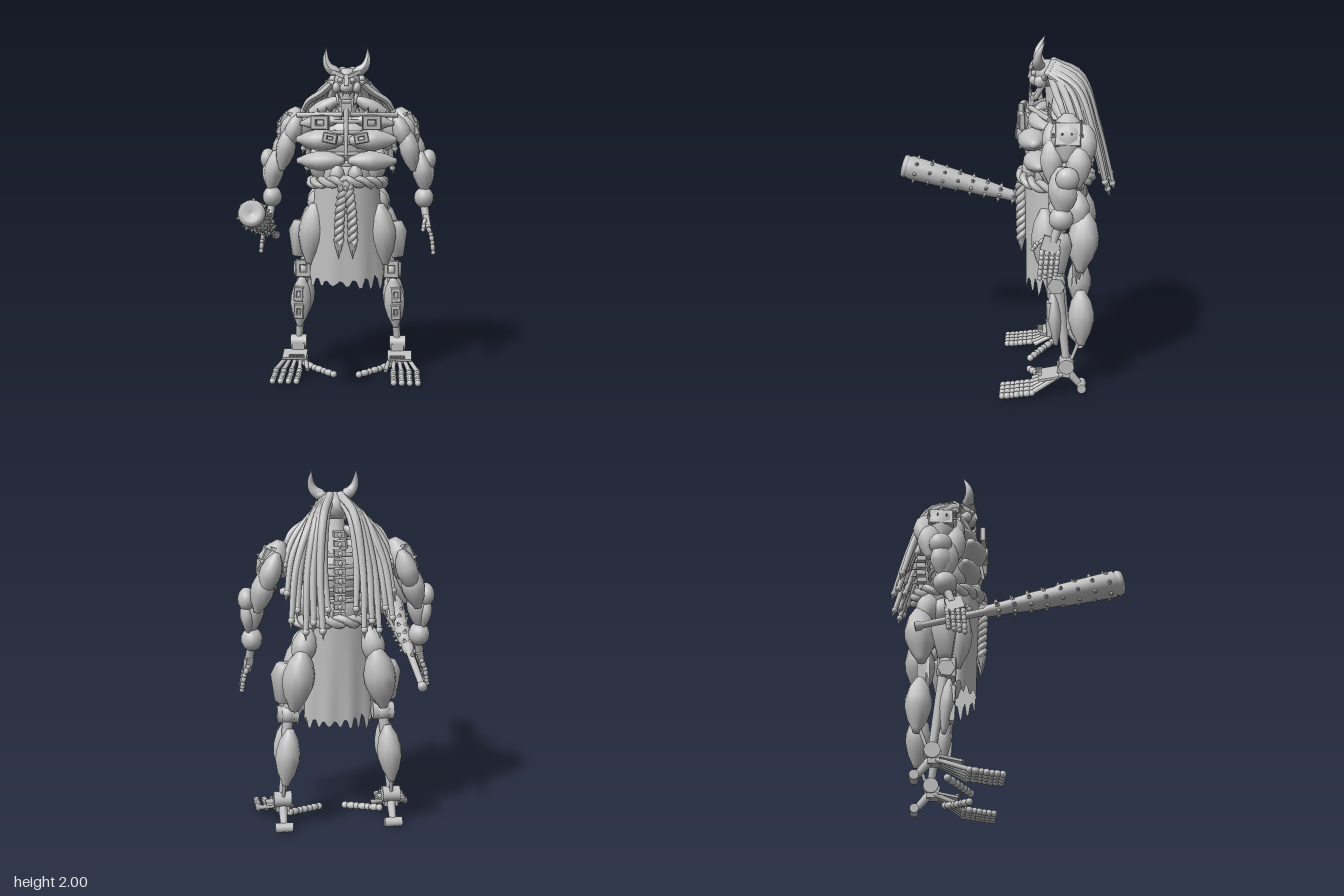
import * as THREE from 'three';

const steel = new THREE.MeshStandardMaterial({ color: 0xc0c0c0 });
steel.name = 'steel grey';
const cloth = steel.clone();
cloth.name = 'cloth grey';
cloth.side = THREE.DoubleSide;

const V = (x, y, z) => new THREE.Vector3(x, y, z);
const UP = V(0, 1, 0);

export function createModel() {
  const model = new THREE.Group();
  let part = model;
  const section = (name) => { part = new THREE.Group(); part.name = name; model.add(part); };
  const add = (name, geo, mat = steel) => {
    const m = new THREE.Mesh(geo, mat);
    m.name = name;
    part.add(m);
    return m;
  };
  // Places a unit-high geometry between two points, a at the top
  const span = (name, geo, a, b, sx, sz) => {
    const d = a.clone().sub(b), m = add(name, geo);
    m.position.copy(a).add(b).multiplyScalar(0.5);
    m.quaternion.setFromUnitVectors(UP, d.clone().normalize());
    m.scale.set(sx, d.length(), sz);
    return m;
  };
  const spindle = new THREE.LatheGeometry([[0, -0.5], [0.28, -0.49], [0.36, -0.43], [0.72, -0.27], [0.97, -0.06],
    [0.98, 0.1], [0.76, 0.31], [0.4, 0.45], [0.3, 0.49], [0, 0.5]].map(p => new THREE.Vector2(...p)), 12);
  const muscle = (name, a, b, rx, rz = rx) => span(name, spindle, a, b, rx, rz);
  const bone = (name, a, b, r0, r1 = r0, n = 8) => span(name, new THREE.CylinderGeometry(r0, r1, 1, n), a, b, 1, 1);
  const ball = (name, p, rx, ry = rx, rz = rx) => {
    const m = add(name, new THREE.SphereGeometry(1, 14, 10));
    m.position.copy(p); m.scale.set(rx, ry, rz);
    return m;
  };
  const box = (name, p, w, h, d, rx = 0, ry = 0, rz = 0) => {
    const m = add(name, new THREE.BoxGeometry(w, h, d));
    m.position.copy(p); m.rotation.set(rx, ry, rz);
    return m;
  };
  const spike = (name, p, dir, r, h) => {
    const d = dir.clone().normalize();
    return span(name, new THREE.ConeGeometry(r, 1, 5), p.clone().addScaledVector(d, h), p, 1, 1);
  };
  // Rectangular frame with a window
  const frame = (name, p, w, h, rx, ry, rz) => {
    const s = new THREE.Shape([[-w, -h], [w, -h], [w, h], [-w, h]].map(q => new THREE.Vector2(q[0] / 2, q[1] / 2)));
    s.holes.push(new THREE.Path([[-w, -h], [-w, h], [w, h], [w, -h]].map(q => new THREE.Vector2(q[0] * 0.27, q[1] * 0.25))));
    const m = add(name, new THREE.ExtrudeGeometry(s, { depth: 0.025, bevelSize: 0.005, bevelThickness: 0.005, bevelSegments: 1 }));
    m.position.copy(p); m.rotation.set(rx, ry, rz, 'ZYX');
  };
  // Two strands twisted round a path
  const rope = (name, path, r, turns, closed = false) => {
    const n = turns * 8, f = path.computeFrenetFrames(n, closed);
    for (const phase of [0, Math.PI]) {
      const pts = [];
      for (let i = 0; i < n + (closed ? 0 : 1); i++) {
        const t = phase + i / n * turns * Math.PI * 2;
        pts.push(path.getPointAt(i / n).addScaledVector(f.normals[i], Math.cos(t) * r * 0.6).addScaledVector(f.binormals[i], Math.sin(t) * r * 0.6));
      }
      add(name, new THREE.TubeGeometry(new THREE.CatmullRomCurve3(pts, closed), n * 2, r * 0.72, 6, closed));
    }
  };
  // Tube whose radius follows a rule along its length
  const taperTube = (name, c, n, r, sides, rule) => {
    const g = new THREE.TubeGeometry(c, n, r, sides), pos = g.attributes.position;
    for (let i = 0; i < pos.count; i++) {
      const t = Math.floor(i / (sides + 1)) / n, q = c.getPointAt(t);
      const v = V(0, 0, 0).fromBufferAttribute(pos, i).sub(q).multiplyScalar(rule(t)).add(q);
      pos.setXYZ(i, v.x, v.y, v.z);
    }
    g.computeVertexNormals();
    add(name, g);
  };
  // Jointed finger or toe through a row of knuckles
  const digit = (name, pts, r) => pts.forEach((p, i) => {
    ball(name + 'Knuckle', p, r);
    if (i) muscle(name + 'Segment', pts[i - 1], p, r * 1.05), bone(name + 'Rod', pts[i - 1], p, r * 0.6, r * 0.6, 6);
  });

  section('head');
  ball('skull', V(0, 1.805, -0.255), 0.08, 0.078, 0.085);
  ball('snout', V(0, 1.765, -0.19), 0.04, 0.035, 0.04);
  box('noseRidge', V(0, 1.81, -0.165), 0.025, 0.07, 0.03, -0.25);
  box('jaw', V(0, 1.675, -0.195), 0.085, 0.03, 0.07, 0.15);
  box('chin', V(0, 1.65, -0.165), 0.06, 0.05, 0.03);
  bone('neck', V(0, 1.74, -0.29), V(0, 1.52, -0.33), 0.05, 0.075, 10);
  bone('beardRod', V(0, 1.64, -0.16), V(0, 1.37, -0.105), 0.018, 0.01);
  for (const s of [-1, 1]) {
    ball('eye', V(s * 0.036, 1.81, -0.18), 0.017);
    box('brow', V(s * 0.042, 1.845, -0.18), 0.075, 0.022, 0.04, 0, s * 0.3, s * 0.4);
    ball('cheek', V(s * 0.06, 1.765, -0.215), 0.026, 0.035, 0.036);
    bone('jawHinge', V(s * 0.065, 1.76, -0.24), V(s * 0.04, 1.67, -0.19), 0.014);
    spike('tusk', V(s * 0.035, 1.685, -0.16), V(s * 0.3, 1, 0.1), 0.011, 0.07);
    spike('fang', V(s * 0.02, 1.745, -0.16), V(0, -1, 0), 0.008, 0.04);
    spike('ear', V(s * 0.075, 1.79, -0.24), V(s, 0.3, -0.3), 0.02, 0.07);
    taperTube('horn', new THREE.CatmullRomCurve3([V(s * 0.07, 1.86, -0.205), V(s * 0.105, 1.885, -0.2), V(s * 0.122, 1.925, -0.205), V(s * 0.122, 2, -0.24)]),
      12, 0.034, 10, t => 1 - 0.98 * t ** 1.3);
    ball('hornCollar', V(s * 0.068, 1.86, -0.21), 0.035, 0.025, 0.033);
  }

  section('dreadlocks');
  // Each lock ends at x, y, z: long back row, then short side locks
  const locks = [[0.11, 1.2, -0.63], [0.155, 1.24, -0.6], [0.195, 1.19, -0.6], [0.235, 1.3, -0.56], [0.27, 1.25, -0.58], [0.285, 1.38, -0.5],
    [0.075, 1.3, -0.57], [0.13, 1.36, -0.55], [0.285, 1.52, -0.43], [0.275, 1.62, -0.35]];
  for (const s of [-1, 1]) locks.forEach(([x, y, z], i) => {
    const k = (i % 6) / 5, lift = i < 6 ? -0.01 : -0.03;
    const root = V(s * (0.03 + 0.055 * k), 1.875 - 0.05 * k + lift, -0.26 - (1 - k) * 0.03);
    const c = new THREE.CatmullRomCurve3([root,
      V(s * (0.035 + x * 0.42), 1.795 - 0.05 * k + lift, -0.25 + (z + 0.25) * 0.5),
      V(s * (0.03 + x * 0.76), y + (1.72 - y) * 0.58, -0.25 + (z + 0.25) * 0.78), V(s * x, y, z)]);
    taperTube('lock', c, 16, 0.023, 8, t => 1 - 0.35 * t * t);
    ball('lockRoot', root, 0.024);
    const end = c.getPointAt(1);
    ball('lockCuff', end, 0.019);
    spike('lockTip', end, c.getTangentAt(1), 0.015, 0.05);
  });

  section('torso');
  ball('ribCore', V(0, 1.44, -0.3), 0.19, 0.17, 0.13);
  ball('bellyCore', V(0, 1.24, -0.3), 0.16, 0.14, 0.13);
  for (let i = 0; i < 11; i++) {
    const y = 1.68 - i * 0.048, z = -0.44 - 0.04 * Math.sin(i / 10 * Math.PI);
    box('vertebra', V(0, y, z), 0.06, 0.03, 0.055);
    spike('vertebraSpike', V(0, y, z - 0.02), V(0, -0.5, -1), 0.016, 0.05);
  }
  for (let i = 0; i < 5; i++) {
    const m = add('rib', new THREE.TorusGeometry(0.2 - 0.012 * i, 0.013, 6, 28));
    m.position.set(0, 1.57 - i * 0.065, -0.3); m.rotation.x = Math.PI / 2; m.scale.y = 0.78;
  }
  for (const s of [-1, 1]) {
    muscle('pectoral', V(s * 0.015, 1.455, -0.16), V(s * 0.3, 1.46, -0.195), 0.065, 0.085);
    muscle('lowerPectoral', V(s * 0.01, 1.335, -0.175), V(s * 0.3, 1.33, -0.225), 0.06, 0.075);
    muscle('upperChest', V(s * 0.03, 1.585, -0.19), V(s * 0.28, 1.55, -0.25), 0.045, 0.07);
    bone('collarbone', V(s * 0.02, 1.61, -0.16), V(s * 0.3, 1.6, -0.27), 0.016);
    frame('chestFrame', V(s * 0.15, 1.565, -0.125), 0.1, 0.075, 0, s * 0.15, 0);
    frame('pectoralFrame', V(s * 0.09, 1.475, -0.11), 0.075, 0.05, 0, s * 0.1, s * 0.2);
    muscle('abdominal', V(s * 0.05, 1.31, -0.15), V(s * 0.06, 1.19, -0.17), 0.045);
    muscle('oblique', V(s * 0.2, 1.4, -0.3), V(s * 0.14, 1.16, -0.31), 0.065, 0.09);
    muscle('shoulderBlade', V(s * 0.12, 1.66, -0.38), V(s * 0.25, 1.38, -0.42), 0.075, 0.06);
    muscle('trapezius', V(s * 0.04, 1.7, -0.32), V(s * 0.27, 1.58, -0.36), 0.045, 0.06);
    for (let i = 0; i < 4; i++) spike('collarSpike', V(s * (0.06 + i * 0.055), 1.62 - i * 0.008, -0.27), V(s * 0.3, 1, 0.2), 0.014, 0.04);
  }

  for (const s of [-1, 1]) {
    const P = (x, y, z) => V(s * x, y, z);
    section(s > 0 ? 'leftArm' : 'rightArm');
    ball('shoulderJoint', P(0.29, 1.52, -0.36), 0.085);
    muscle('deltoid', P(0.3, 1.64, -0.37), P(0.405, 1.39, -0.37), 0.085, 0.1);
    muscle('rearDeltoid', P(0.33, 1.59, -0.465), P(0.41, 1.36, -0.45), 0.06, 0.07);
    muscle('frontDeltoid', P(0.29, 1.6, -0.29), P(0.37, 1.39, -0.29), 0.055, 0.06);
    frame('shoulderFrame', P(0.385, 1.54, -0.37), 0.13, 0.12, 0, s * Math.PI / 2, s * 0.4);
    for (let i = 0; i < 8; i++) spike('shoulderSpike', P(0.34 + (i % 2) * 0.065, 1.6 - (i % 2) * 0.06, -0.29 - (i >> 1) * 0.05), P(1, 0.8, 0), 0.014, 0.035);
    muscle('biceps', P(0.35, 1.52, -0.285), P(0.4, 1.26, -0.29), 0.06, 0.065);
    muscle('triceps', P(0.38, 1.5, -0.435), P(0.44, 1.26, -0.425), 0.065, 0.07);
    bone('upperArmBone', P(0.32, 1.5, -0.36), P(0.43, 1.27, -0.35), 0.03);
    ball('elbow', P(0.45, 1.3, -0.36), 0.055);
    ball('elbowCap', P(0.492, 1.325, -0.37), 0.048, 0.065, 0.065);
    muscle('forearm', P(0.435, 1.38, -0.34), P(0.475, 1.12, -0.34), 0.062, 0.075);
    muscle('outerForearm', P(0.5, 1.32, -0.37), P(0.48, 1.13, -0.36), 0.038, 0.06);
    ball('wristBall', P(0.465, 1.095, -0.34), 0.06, 0.065, 0.068);
    bone('wristRod', P(0.465, 1.06, -0.33), P(0.48, 0.97, -0.3), 0.024);
    box('palm', P(0.483, 0.955, -0.285), 0.035, 0.08, 0.095, -0.3, 0, s * 0.2);
    for (let i = 0; i < 4; i++) {
      const z = -0.24 - i * 0.029;
      digit('finger', [P(0.487, 0.935, z), P(0.508, 0.885, z + 0.004), P(0.518, 0.835, z + 0.008), P(0.523, 0.775 + i * 0.008, z + 0.012)], 0.014);
    }
    digit('thumb', [P(0.475, 0.98, -0.26), P(0.465, 0.955, -0.215), P(0.46, 0.92, -0.19)], 0.013);

    section(s > 0 ? 'leftLeg' : 'rightLeg');
    ball('hip', P(0.18, 1.06, -0.34), 0.07, 0.08, 0.075);
    bone('thighBone', P(0.18, 1.05, -0.34), P(0.265, 0.67, -0.32), 0.035);
    muscle('quadriceps', P(0.195, 1.07, -0.25), P(0.23, 0.69, -0.26), 0.085, 0.08);
    muscle('glute', P(0.16, 1.17, -0.42), P(0.22, 0.95, -0.45), 0.07, 0.07);
    muscle('hamstring', P(0.2, 1.06, -0.48), P(0.25, 0.71, -0.455), 0.09, 0.09);
    // Outer thigh plate, widest near its top
    const pad = span('outerThighPlate', new THREE.LatheGeometry([[0, -0.5], [0.045, -0.5], [0.078, 0.2], [0.05, 0.5], [0, 0.5]]
      .map(p => new THREE.Vector2(...p)), 6), P(0.285, 0.95, -0.34), P(0.3, 0.73, -0.33), 0.95, 1.05);
    pad.rotateY(0.5);
    ball('knee', P(0.27, 0.65, -0.32), 0.055);
    bone('kneeAxle', P(0.21, 0.65, -0.32), P(0.33, 0.65, -0.32), 0.05, 0.05, 6);
    frame('kneeFrame', P(0.27, 0.66, -0.295), 0.085, 0.1, 0, 0, 0);
    muscle('shin', P(0.28, 0.6, -0.3), P(0.3, 0.28, -0.325), 0.065, 0.042);
    for (const y of [0.5, 0.39]) frame('shinFrame', P(0.3, y, -0.295), 0.05, 0.085, 0.05, 0, s * 0.06);
    muscle('calf', P(0.27, 0.61, -0.46), P(0.3, 0.28, -0.47), 0.07, 0.075);
    bone('shinBone', P(0.27, 0.64, -0.33), P(0.31, 0.18, -0.385), 0.032, 0.022);
    bone('calfTendon', P(0.3, 0.32, -0.46), P(0.31, 0.16, -0.4), 0.01);
    bone('ankle', P(0.26, 0.17, -0.385), P(0.36, 0.17, -0.385), 0.045, 0.045, 12);
    box('ankleBlock', P(0.31, 0.135, -0.37), 0.08, 0.07, 0.075);
    // Foot: heel strut, instep bars and splayed toes
    bone('heelStrut', P(0.31, 0.13, -0.39), P(0.31, 0.04, -0.465), 0.026, 0.02);
    bone('heel', P(0.26, 0.034, -0.475), P(0.36, 0.034, -0.475), 0.027, 0.027, 10);
    box('instep', P(0.325, 0.112, -0.285), 0.15, 0.014, 0.12, 0.2);
    for (let i = 0; i < 5; i++) {
      const x = 0.24 + i * 0.048, a = 0.275 + i * 0.018;
      bone('instepBar', P(a, 0.12, -0.36), P(x, 0.042, -0.19), 0.013, 0.015, 6);
      spike('instepSpike', P(a, 0.115, -0.24), V(0, 0.4, 1), 0.014, 0.04);
      if (i) digit('toe', [P(x, 0.04, -0.19), P(x, 0.032, -0.13), P(x + 0.002, 0.024, -0.075), P(x + 0.004, 0.019, -0.02)], 0.019);
    }
    digit('bigToe', [P(0.26, 0.05, -0.3), P(0.2, 0.038, -0.25), P(0.14, 0.03, -0.21), P(0.078, 0.022, -0.17)], 0.021);
  }

  section('skirt');
  // Curved cloth panel with folds and a torn hem
  const panel = (name, mid, half, hem) => {
    const g = new THREE.PlaneGeometry(1, 1, 32, 8), pos = g.attributes.position;
    for (let i = 0; i < pos.count; i++) {
      const u = pos.getX(i) + 0.5, t = 0.5 - pos.getY(i), col = Math.round(u * 32);
      const a = mid + (u - 0.5) * 2 * half, fold = 1 + 0.03 * t * Math.sin(u * 22);
      const torn = hem + (col % 4 < 2 ? col % 4 : 4 - col % 4) * 0.04 + 0.025 * Math.sin(col * 1.7);
      const y = 1.19 + (torn - 1.19) * t;
      pos.setXYZ(i, Math.sin(a) * (0.2 + 0.035 * t) * fold, y, -0.31 + Math.cos(a) * (0.18 - 0.01 * t) * fold);
    }
    g.computeVertexNormals();
    add(name, g, cloth);
  };
  panel('frontCloth', 0, 1.35, 0.55);
  panel('backCloth', Math.PI, 0.95, 0.59);

  section('belt');
  const loop = [];
  for (let i = 0; i < 16; i++) loop.push(V(Math.sin(i * Math.PI / 8) * 0.215, 1.205 + 0.012 * Math.cos(i * Math.PI / 4), -0.31 + Math.cos(i * Math.PI / 8) * 0.195));
  rope('waistRope', new THREE.CatmullRomCurve3(loop, true), 0.03, 8, true);
  ball('knot', V(0, 1.2, -0.115), 0.045, 0.042, 0.03);
  const ring = add('knotLoop', new THREE.TorusGeometry(0.035, 0.016, 8, 16));
  ring.position.set(0, 1.2, -0.1);
  for (const s of [-1, 1]) {
    rope('hangingRope', new THREE.CatmullRomCurve3([V(s * 0.012, 1.19, -0.105), V(s * 0.035, 1.03, -0.11), V(s * 0.042, 0.84, -0.115)]), 0.025, 4);
    spike('ropeTassel', V(s * 0.042, 0.85, -0.115), V(0, -1, 0), 0.03, 0.1);
  }

  section('club');
  // Built along +y, then tipped forward
  const club = part, L = 0.78;
  add('clubBody', new THREE.LatheGeometry([[0, -0.4], [0.026, -0.4], [0.026, -0.37], [0.018, -0.36], [0.021, -0.01], [0.033, 0], [0.038, 0.12],
    [0.05, 0.25], [0.052, 0.255], [0.056, 0.4], [0.063, 0.42], [0.07, 0.58], [0.075, 0.73], [0.068, 0.735], [0.068, 0.75], [0.074, 0.755],
    [0.066, L - 0.005], [0.045, L], [0, L - 0.012]].map(p => new THREE.Vector2(...p)), 18));
  for (let r = 0; r < 8; r++) for (let i = 0; i < 7; i++) {
    const a = (i + (r % 2) / 2) / 7 * Math.PI * 2, y = 0.06 + r * 0.09, rad = 0.033 + 0.056 * y;
    spike('clubSpike', V(Math.sin(a) * rad, y, Math.cos(a) * rad), V(Math.sin(a), 0, Math.cos(a)), 0.014, 0.026);
  }
  club.position.set(-0.46, 0.932, -0.11);
  club.rotation.x = Math.PI / 2 - 0.267;

  return model;
}
